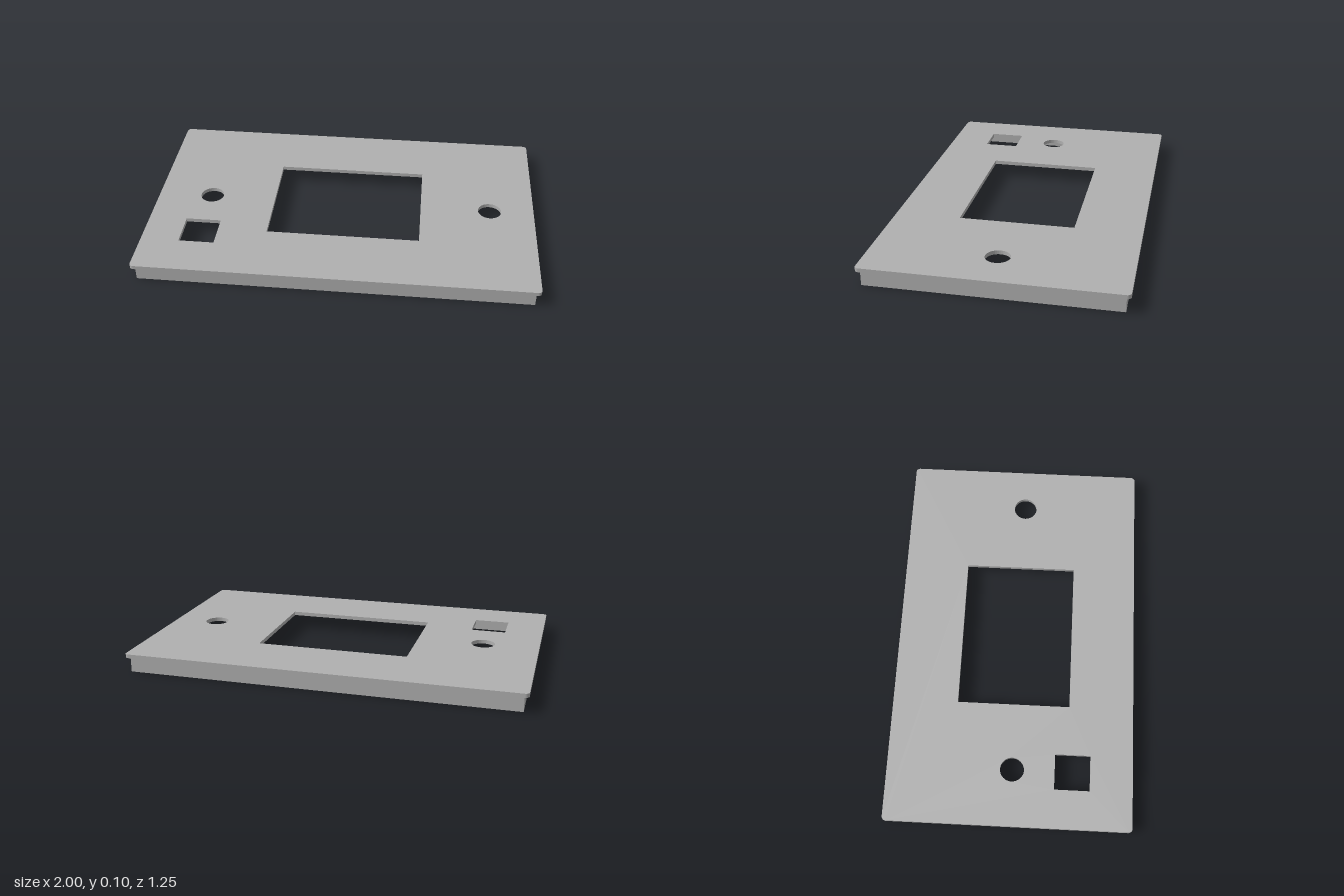
import * as THREE from 'three';

const TOP = 0.098, PLATE = 0.02, RIM = TOP - PLATE;

// Rectangle path given by its edges, with optional rounded corners
function rect(PathType, x0, z0, x1, z1, r = 0) {
  const p = new PathType();
  if (r === 0) {
    p.moveTo(x0, z0).lineTo(x1, z0).lineTo(x1, z1).lineTo(x0, z1).closePath();
    return p;
  }
  p.moveTo(x0 + r, z0);
  p.lineTo(x1 - r, z0);
  p.absarc(x1 - r, z0 + r, r, -Math.PI / 2, 0);
  p.lineTo(x1, z1 - r);
  p.absarc(x1 - r, z1 - r, r, 0, Math.PI / 2);
  p.lineTo(x0 + r, z1);
  p.absarc(x0 + r, z1 - r, r, Math.PI / 2, Math.PI);
  p.lineTo(x0, z0 + r);
  p.absarc(x0 + r, z0 + r, r, Math.PI, Math.PI * 1.5);
  return p;
}

function roundHole(x, z, r) {
  return new THREE.Path().absarc(x, z, r, 0, Math.PI * 2, true);
}

// Horizontal slab: the shape is drawn in x and z and extruded down from y = top
function slab(name, shape, top, depth, material) {
  const geometry = new THREE.ExtrudeGeometry(shape, { depth, bevelEnabled: false, curveSegments: 20 });
  geometry.rotateX(Math.PI / 2).translate(0, top, 0);
  const mesh = new THREE.Mesh(geometry, material);
  mesh.name = name;
  return mesh;
}

export function createModel() {
  const group = new THREE.Group();
  group.name = 'panelCover';
  const grey = new THREE.MeshStandardMaterial({ color: 0xb0b0b0 });
  grey.name = 'grey';

  // Face plate with display window, square switch opening and two round holes
  const face = rect(THREE.Shape, -1, -0.623, 1, 0.623, 0.02);
  face.holes.push(
    rect(THREE.Path, -0.373, -0.287, 0.407, 0.293),
    rect(THREE.Path, -0.805, 0.228, -0.625, 0.408),
    roundHole(-0.714, 0.012, 0.061),
    roundHole(0.77, 0.012, 0.061)
  );
  group.add(slab('facePlate', face, TOP, PLATE, grey));

  // Rim wall under the plate, open at the bottom
  const x = 0.978, z = 0.602, wall = 0.05;
  const rim = rect(THREE.Shape, -x, -z, x, z);
  rim.holes.push(rect(THREE.Path, -x + wall, -z + wall, x - wall, z - wall));
  group.add(slab('rimWall', rim, RIM, RIM, grey));

  return group;
}
